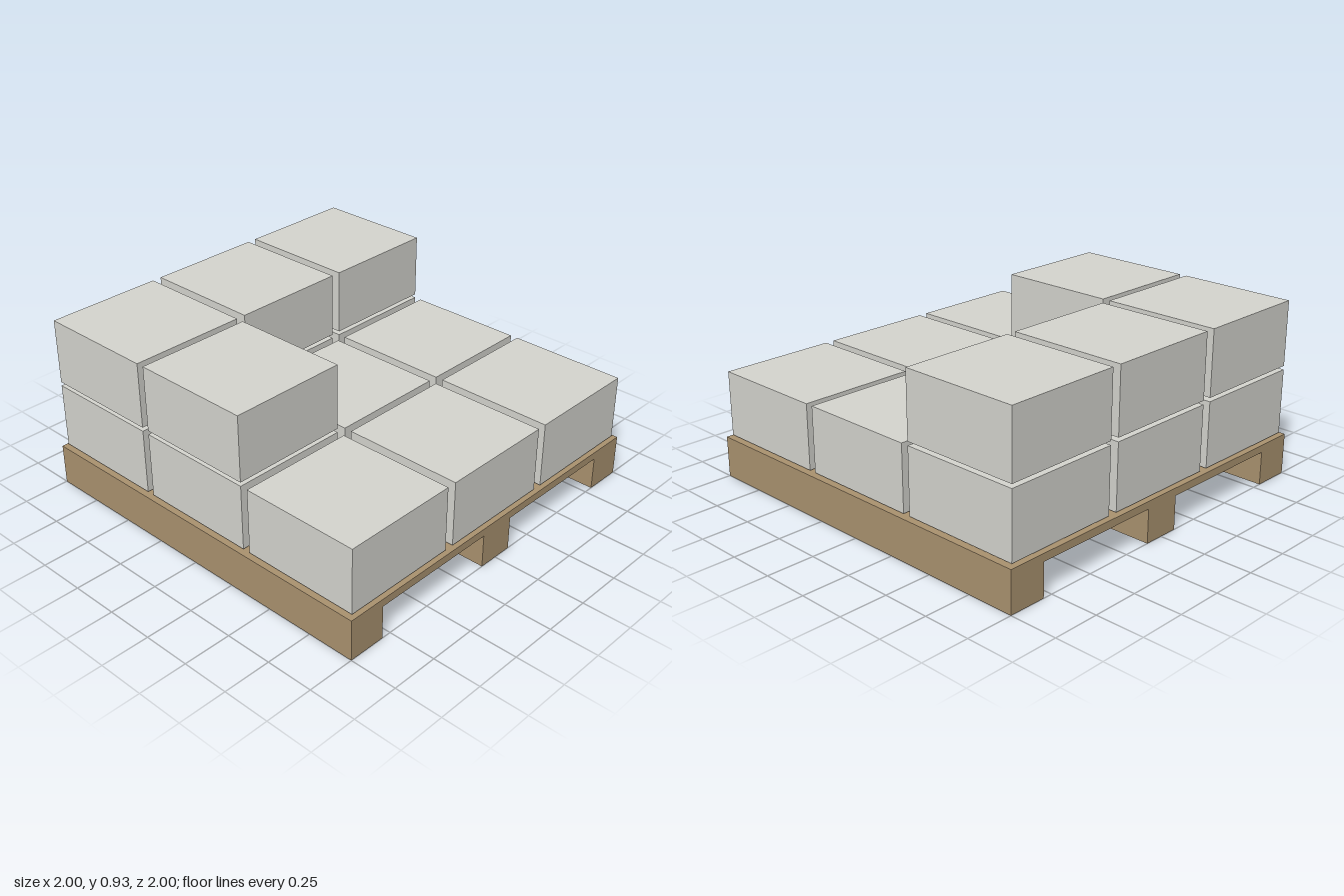
import * as THREE from 'three';

export function createModel() {
  const model = new THREE.Group();
  const wood = new THREE.MeshStandardMaterial({ color: 0xab9370 });
  const carton = new THREE.MeshStandardMaterial({ color: 0xd6d6d0 });

  function addBox(parent, name, material, size, position) {
    const mesh = new THREE.Mesh(new THREE.BoxGeometry(...size), material);
    mesh.name = name;
    mesh.position.set(...position);
    parent.add(mesh);
  }

  // Pallet: a thin deck on three full-width runners
  const pallet = new THREE.Group();
  pallet.name = 'pallet';
  addBox(pallet, 'deck', wood, [2, 0.04, 2], [0, 0.195, 0]);
  for (const z of [-0.9, 0, 0.9]) {
    addBox(pallet, 'runner', wood, [2, 0.175, 0.2], [0, 0.0875, z]);
  }
  model.add(pallet);

  // Cartons: stack height of each cell, rows from back to front, columns along x
  const stacks = [
    [2, 1, 1],
    [2, 1, 1],
    [2, 2, 1],
  ];
  const cartons = new THREE.Group();
  cartons.name = 'cartons';
  const pitch = 2 / 3;
  stacks.forEach((row, r) => row.forEach((count, c) => {
    for (let level = 0; level < count; level++) {
      addBox(cartons, 'carton', carton, [0.627, 0.34, 0.617],
        [(c - 1) * pitch, 0.395 + level * 0.36, (r - 1) * pitch]);
    }
  }));
  model.add(cartons);

  return model;
}
